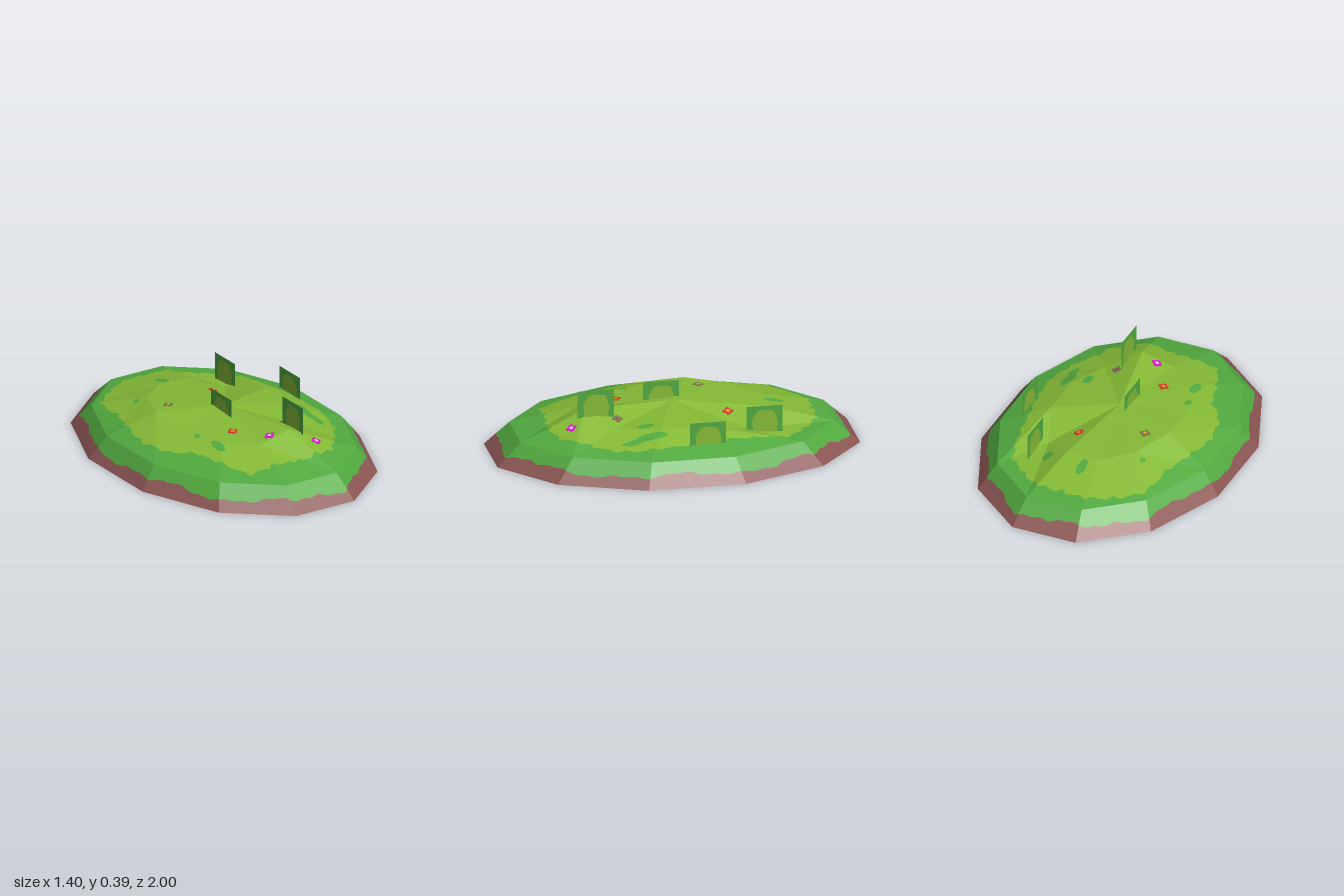
import * as THREE from 'three';
import { mergeGeometries } from 'three/addons/utils/BufferGeometryUtils.js';

const paint = (name, color) => {
  const m = new THREE.MeshStandardMaterial({ color, side: THREE.DoubleSide });
  m.name = name;
  return m;
};

const SIDES = 12;
const V = (x, y, z) => new THREE.Vector3(x, y, z);

// Facets of the mound: three twelve-sided elliptical rings and a centre point
function moundFacets() {
  const crown = [0.215, 0.2, 0.265, 0.215, 0.215, 0.215, 0.24, 0.225, 0.21, 0.21, 0.15, 0.215];
  const ring = (rx, rz, height) => Array.from({ length: SIDES }, (_, i) => {
    const a = (i + 0.5) * Math.PI * 2 / SIDES;
    return V(rx * Math.cos(a), height(i), rz * Math.sin(a));
  });
  const foot = ring(0.725, 1.035, () => 0);
  const shoulder = ring(0.626, 0.896, () => 0.125);
  const top = ring(0.362, 0.518, (i) => crown[i]);
  const centre = V(0, 0.25, 0);
  const facets = [];
  for (let i = 0; i < SIDES; i++) {
    const j = (i + 1) % SIDES;
    for (const [outer, inner] of [[foot, shoulder], [shoulder, top]]) {
      facets.push([outer[i], inner[j], outer[j]], [outer[i], inner[i], inner[j]].map((p) => p));
      // The ridge runs from the inner corner j to the outer corner i
    }
    facets.push([top[i], centre, top[j]]);
  }
  return facets;
}

// Upper edge of the bare earth: positive above it
function earthEdge(p) {
  const a = Math.atan2(p.z, p.x / 0.7);
  return p.y - (0.057 + 0.009 * Math.sin(7 * a + 1) + 0.006 * Math.sin(17 * a) + 0.004 * Math.sin(41 * a));
}

// Outline of the meadow (elliptical radius every 15 degrees from +x towards +z)
const MEADOW = [0.69, 0.74, 0.76, 0.74, 0.76, 0.73, 0.69, 0.70, 0.78, 0.70, 0.65, 0.74,
  0.76, 0.735, 0.73, 0.83, 0.81, 0.80, 0.77, 0.79, 0.77, 0.78, 0.71, 0.67];
// Grass tufts inside the meadow: x, z, half width, half length
const TUFTS = [[-0.03, -0.57, 0.025, 0.06], [0.205, -0.5, 0.03, 0.035], [-0.31, -0.39, 0.018, 0.022],
  [0.28, 0.2, 0.025, 0.05], [0.39, 0.19, 0.03, 0.09], [0.41, 0.3, 0.022, 0.06],
  [-0.28, 0.37, 0.025, 0.06], [-0.31, 0.21, 0.018, 0.03]];

// Positive inside the meadow
function meadowEdge(p) {
  const a = Math.atan2(p.z, p.x / 0.7);
  const s = ((a / (Math.PI * 2) + 1) % 1) * 24;
  const i = Math.floor(s) % 24;
  const edge = THREE.MathUtils.lerp(MEADOW[i], MEADOW[(i + 1) % 24], s - Math.floor(s))
    + 0.01 * Math.sin(37 * a) + 0.006 * Math.sin(61 * a);
  let f = edge - Math.hypot(p.x / 0.7, p.z);
  for (const [x, z, w, l] of TUFTS) {
    f = Math.min(f, (Math.hypot((p.x - x) / w, (p.z - z) / l) - 1) * w);
  }
  return f;
}

// Keep the part of a polygon where sign * field is positive
function clip(poly, field, sign) {
  const out = [];
  poly.forEach((p, i) => {
    const q = poly[(i + 1) % poly.length];
    const a = field(p) * sign, b = field(q) * sign;
    if (a >= 0) out.push(p);
    if ((a >= 0) !== (b >= 0)) out.push(p.clone().lerp(q, a / (a - b)));
  });
  return out;
}

// Cut every facet along the colour edges into earth, grass and meadow
function moundGeometries(facets) {
  const N = 16;
  const parts = { earth: [], grass: [], meadow: [] };
  const add = (list, poly) => {
    for (let i = 1; i + 1 < poly.length; i++) {
      for (const p of [poly[0], poly[i], poly[i + 1]]) list.push(p.x, p.y, p.z);
    }
  };
  for (const [A, B0, C0] of facets) {
    const up = B0.clone().sub(A).cross(C0.clone().sub(A)).y > 0;
    const B = up ? B0 : C0, C = up ? C0 : B0;
    const at = (i, j) => A.clone().multiplyScalar((N - i - j) / N)
      .addScaledVector(B, i / N).addScaledVector(C, j / N);
    for (let i = 0; i < N; i++) {
      for (let j = 0; i + j < N; j++) {
        const cells = [[at(i, j), at(i + 1, j), at(i, j + 1)]];
        if (i + j < N - 1) cells.push([at(i + 1, j), at(i + 1, j + 1), at(i, j + 1)]);
        for (const cell of cells) {
          const green = clip(cell, earthEdge, 1);
          add(parts.earth, clip(cell, earthEdge, -1));
          add(parts.grass, clip(green, meadowEdge, -1));
          add(parts.meadow, clip(green, meadowEdge, 1));
        }
      }
    }
  }
  for (const key in parts) {
    const g = new THREE.BufferGeometry();
    g.setAttribute('position', new THREE.Float32BufferAttribute(parts[key], 3));
    g.computeVertexNormals();
    parts[key] = g;
  }
  return parts;
}

// Ground point and normal below (x, z)
function groundAt(facets, x, z) {
  const ray = new THREE.Ray(V(x, 1, z), V(0, -1, 0));
  for (const [a, b, c] of facets) {
    const point = ray.intersectTriangle(a, b, c, false, V(0, 0, 0));
    if (point) {
      const normal = new THREE.Triangle(a, b, c).getNormal(V(0, 0, 0));
      if (normal.y < 0) normal.negate();
      return { point, normal };
    }
  }
  return { point: V(x, 0.2, z), normal: V(0, 1, 0) };
}

export function createModel() {
  const model = new THREE.Group();
  model.name = 'grassyMound';
  const mat = {
    earth: paint('earthBrown', 0x8b5654),
    grass: paint('grassGreen', 0x52aa40),
    meadow: paint('meadowGreen', 0x85ba36),
    red: paint('flowerRed', 0xd93a2b),
    orange: paint('flowerOrange', 0xe5a41c),
    magenta: paint('flowerMagenta', 0xf010e8),
    grey: paint('flowerGrey', 0x7d7550),
    white: paint('flowerWhite', 0xf3d9ef),
  };
  const addMesh = (parent, name, geometry, material) => {
    const mesh = new THREE.Mesh(geometry, material);
    mesh.name = name;
    parent.add(mesh);
    return mesh;
  };

  // Mound
  const facets = moundFacets();
  const ground = moundGeometries(facets);
  for (const key of ['earth', 'grass', 'meadow']) addMesh(model, key, ground[key], mat[key]);

  // Upright square grass cards, facing sideways: x, top, z
  const patch = [[-0.075, -0.1], [0.07, -0.1], [0.068, -0.03], [0.075, 0.0], [0.062, 0.045],
    [0.05, 0.07], [0.01, 0.076], [-0.04, 0.072], [-0.055, 0.045], [-0.07, 0.02], [-0.062, -0.04]]
    .map(([x, y]) => new THREE.Vector2(x, y));
  const frame = new THREE.Shape([[-0.1, -0.1], [-0.075, -0.1], ...patch.slice(1).reverse().map((p) => [p.x, p.y]),
    [0.1, -0.1], [0.1, 0.1], [-0.1, 0.1]].map(([x, y]) => new THREE.Vector2(x, y)));
  const cardFrame = new THREE.ShapeGeometry(frame);
  const cardPatch = new THREE.ShapeGeometry(new THREE.Shape(patch));
  for (const [x, top, z] of [[0.15, 0.39, 0.45], [-0.05, 0.34, 0.05], [0.49, 0.29, -0.1], [0.3, 0.29, -0.45]]) {
    const card = new THREE.Group();
    card.name = 'grassCard';
    addMesh(card, 'cardEdge', cardFrame, mat.grass);
    addMesh(card, 'cardMiddle', cardPatch, mat.meadow);
    card.position.set(x, top - 0.1, z);
    card.rotation.y = Math.PI / 2;
    model.add(card);
  }

  // Flowers: four petals around a heart, lying on the ground
  const disc = (r, x, z) => new THREE.CylinderGeometry(r, r, 0.007, 8).translate(x, 0, z);
  const petals = mergeGeometries([[1, 0], [-1, 0], [0, 1], [0, -1]].map(([x, z]) => disc(0.013, x * 0.017, z * 0.017)));
  const heart = disc(0.011, 0, 0).scale(1, 1.3, 1);
  for (const [x, z, petal, middle] of [
    [0.115, -0.285, 'red', 'orange'], [-0.13, 0.285, 'red', 'orange'],
    [-0.235, -0.19, 'grey', 'orange'], [0.17, 0.335, 'grey', 'earth'],
    [-0.01, 0.465, 'magenta', 'white'], [0.205, 0.595, 'magenta', 'white']]) {
    const flower = new THREE.Group();
    flower.name = 'flower';
    addMesh(flower, 'petals', petals, mat[petal]);
    addMesh(flower, 'heart', heart, mat[middle]);
    const { point, normal } = groundAt(facets, x, z);
    flower.position.copy(point);
    flower.quaternion.setFromUnitVectors(V(0, 1, 0), normal);
    model.add(flower);
  }
  return model;
}
